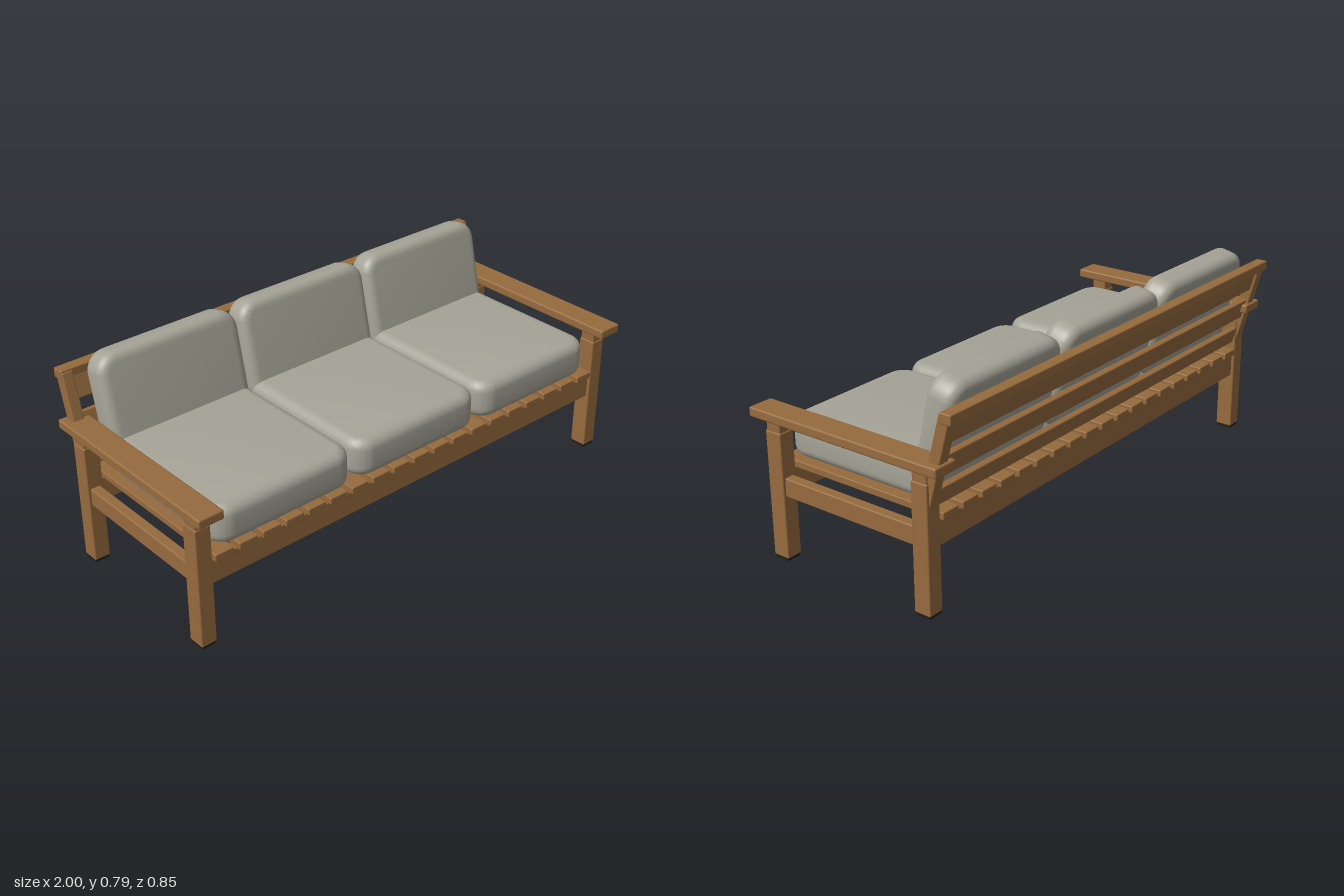
import * as THREE from 'three';
import { toCreasedNormals } from 'three/addons/utils/BufferGeometryUtils.js';
import { RoundedBoxGeometry } from 'three/addons/geometries/RoundedBoxGeometry.js';

const wood = new THREE.MeshStandardMaterial({ color: 0x966b3e });
const fabric = new THREE.MeshStandardMaterial({ color: 0xa6a497 });
const rubber = new THREE.MeshStandardMaterial({ color: 0x1e1e1f });
wood.name = 'wood';
fabric.name = 'fabric';
rubber.name = 'rubber';

// Softly edged bar given by its extents on each axis
function bar(parent, name, [x0, x1], [y0, y1], [z0, z1], material = wood, radius = 0.005) {
  const geometry = new RoundedBoxGeometry(x1 - x0, y1 - y0, z1 - z0, 2, radius);
  const mesh = new THREE.Mesh(geometry, material);
  mesh.position.set((x0 + x1) / 2, (y0 + y1) / 2, (z0 + z1) / 2);
  mesh.name = name;
  parent.add(mesh);
  return mesh;
}

// Cushion: rounded rectangle in x-y, padded edges, thickness along z, centred
function cushionGeometry(width, height, thickness, corner, pad) {
  const w = width / 2 - pad, h = height / 2 - pad, r = corner - pad;
  const s = new THREE.Shape();
  s.absarc(w - r, h - r, r, 0, Math.PI / 2);
  s.absarc(-w + r, h - r, r, Math.PI / 2, Math.PI);
  s.absarc(-w + r, -h + r, r, Math.PI, Math.PI * 1.5);
  s.absarc(w - r, -h + r, r, Math.PI * 1.5, Math.PI * 2);
  s.closePath();
  const geometry = new THREE.ExtrudeGeometry(s, {
    depth: thickness - 2 * pad, bevelThickness: pad, bevelSize: pad,
    bevelSegments: 6, curveSegments: 8,
  });
  geometry.translate(0, 0, pad - thickness / 2);
  return toCreasedNormals(geometry, 0.7);
}

export function createModel() {
  const sofa = new THREE.Group();
  sofa.name = 'sofa';

  // Side frames: legs, feet, armrest and lower side rail
  for (const side of [-1, 1]) {
    const frame = new THREE.Group();
    frame.name = side > 0 ? 'leftFrame' : 'rightFrame';
    const span = (a, b) => (side > 0 ? [a, b] : [-b, -a]);
    for (const [label, z0, z1] of [['front', 0.307, 0.374], ['back', -0.331, -0.265]]) {
      bar(frame, label + 'Leg', span(0.919, 0.981), [0.01, 0.477], [z0, z1]);
      bar(frame, label + 'LegTop', span(0.922, 0.978), [0.465, 0.525], [z0 + 0.003, z1 - 0.003]);
      bar(frame, label + 'Foot', span(0.922, 0.978), [0, 0.014], [z0 + 0.003, z1 - 0.003], rubber, 0.002);
    }
    bar(frame, 'armrest', span(0.9, 1), [0.517, 0.553], [-0.385, 0.427], wood, 0.007);
    bar(frame, 'sideRail', span(0.93, 0.97), [0.243, 0.312], [-0.275, 0.315]);
    sofa.add(frame);
  }

  // Seat base: long rails, joists and slats
  const base = new THREE.Group();
  base.name = 'seatBase';
  bar(base, 'frontRail', [-0.925, 0.925], [0.235, 0.33], [0.32, 0.362]);
  bar(base, 'backRail', [-0.925, 0.925], [0.235, 0.33], [-0.32, -0.278]);
  for (const x of [-0.62, 0, 0.62]) {
    bar(base, 'joist', [x - 0.02, x + 0.02], [0.245, 0.31], [-0.285, 0.325]);
  }
  const slats = 19;
  for (let i = 0; i < slats; i++) {
    const x = (i - (slats - 1) / 2) * 0.097;
    bar(base, 'slat', [x - 0.038, x + 0.038], [0.329, 0.356], [-0.337, 0.381], wood, 0.004);
  }
  sofa.add(base);

  // Leaning back frame, built upright about its foot and then tilted
  const back = new THREE.Group();
  back.name = 'backFrame';
  back.position.set(0, 0.38, -0.306);
  back.rotation.x = -0.265;
  for (const x of [-0.948, 0.948]) {
    bar(back, 'backPost', [x - 0.022, x + 0.022], [0, 0.35], [-0.022, 0.022]);
  }
  for (const [y0, y1] of [[0, 0.068], [0.115, 0.197], [0.242, 0.335]]) {
    bar(back, 'backPlank', [-0.93, 0.93], [y0, y1], [-0.012, 0.012]);
  }
  sofa.add(back);
  bar(sofa, 'topRail', [-0.972, 0.972], [0.692, 0.73], [-0.426, -0.38]);

  // Three seat cushions and three back cushions
  const seatShape = cushionGeometry(0.588, 0.645, 0.148, 0.075, 0.04);
  const backShape = cushionGeometry(0.588, 0.39, 0.112, 0.075, 0.036);
  for (const x of [-0.6, 0, 0.6]) {
    const seat = new THREE.Mesh(seatShape, fabric);
    seat.name = 'seatCushion';
    seat.rotation.x = -Math.PI / 2;
    seat.position.set(x, 0.43, 0.05);
    const rest = new THREE.Mesh(backShape, fabric);
    rest.name = 'backCushion';
    rest.rotation.x = -0.225;
    rest.position.set(x, 0.597, -0.278);
    sofa.add(seat, rest);
  }
  return sofa;
}
